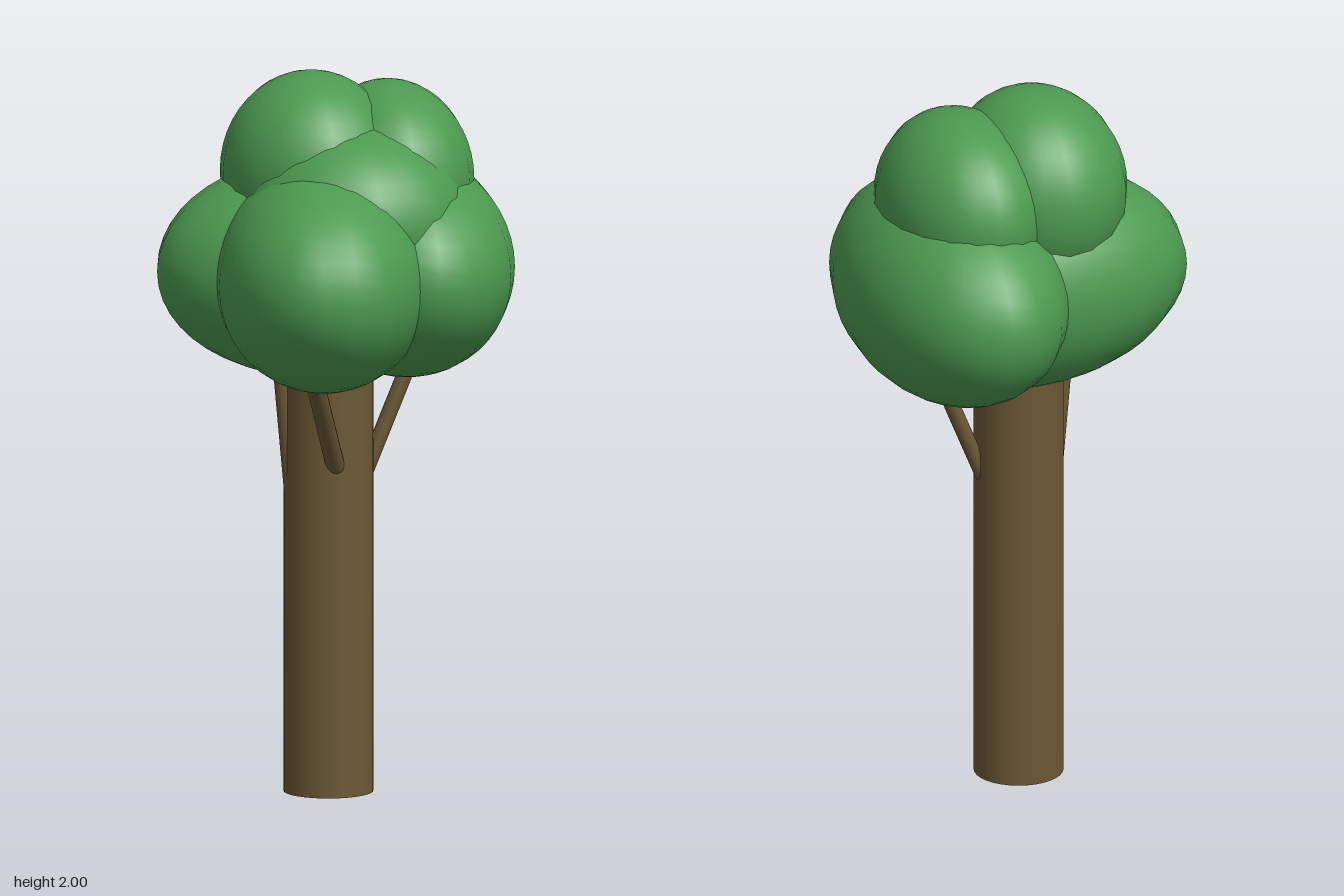
import * as THREE from 'three';

export function createModel() {
  const tree = new THREE.Group();
  tree.name = 'tree';
  const bark = new THREE.MeshStandardMaterial({ color: 0x6b5835 });
  const leaf = new THREE.MeshStandardMaterial({ color: 0x4c9a50 });

  const add = (name, geometry, material) => {
    const mesh = new THREE.Mesh(geometry, material);
    mesh.name = name;
    tree.add(mesh);
    return mesh;
  };

  // Straight trunk, its top hidden in the leaves
  add('trunk', new THREE.CylinderGeometry(0.123, 0.123, 1.4, 32), bark).position.set(-0.015, 0.7, -0.09);

  // Thin branches leaving the trunk and ending in the leaves
  const branches = [
    ['leftBranch', [0.08, 0.86, -0.09], [0.25, 1.27, -0.09], 0.022],
    ['frontBranch', [-0.02, 0.92, 0.015], [-0.15, 1.26, 0.26], 0.026],
    ['rightBranch', [-0.107, 0.74, -0.09], [-0.155, 1.27, -0.09], 0.024],
  ];
  for (const [name, from, to, radius] of branches) {
    const start = new THREE.Vector3(...from);
    const axis = new THREE.Vector3(...to).sub(start);
    const length = axis.length();
    const branch = add(name, new THREE.CapsuleGeometry(radius, length, 4, 14), bark);
    branch.position.copy(start).addScaledVector(axis, 0.5);
    branch.quaternion.setFromUnitVectors(new THREE.Vector3(0, 1, 0), axis.normalize());
  }

  // Overlapping egg-shaped leaf clumps: centre, radii, turn about y
  const clumps = [
    ['leftClump', [0.19, 1.46, -0.095], [0.3, 0.31, 0.475], 0],
    ['rightClump', [-0.02, 1.46, -0.095], [0.475, 0.31, 0.3], 0],
    ['frontClump', [-0.072, 1.46, 0.098], [0.3, 0.31, 0.475], -0.24],
    ['middleClump', [0.03, 1.61, 0], [0.32, 0.27, 0.345], 0],
    ['topRightClump', [-0.06, 1.72, -0.095], [0.25, 0.28, 0.285], 0],
    ['topLeftClump', [0.16, 1.7, -0.1], [0.226, 0.265, 0.305], 0],
  ];
  for (const [name, centre, radii, turn] of clumps) {
    const clump = add(name, new THREE.SphereGeometry(1, 20, 24), leaf);
    clump.position.set(...centre);
    clump.scale.set(...radii);
    clump.rotation.y = turn;
  }

  return tree;
}
